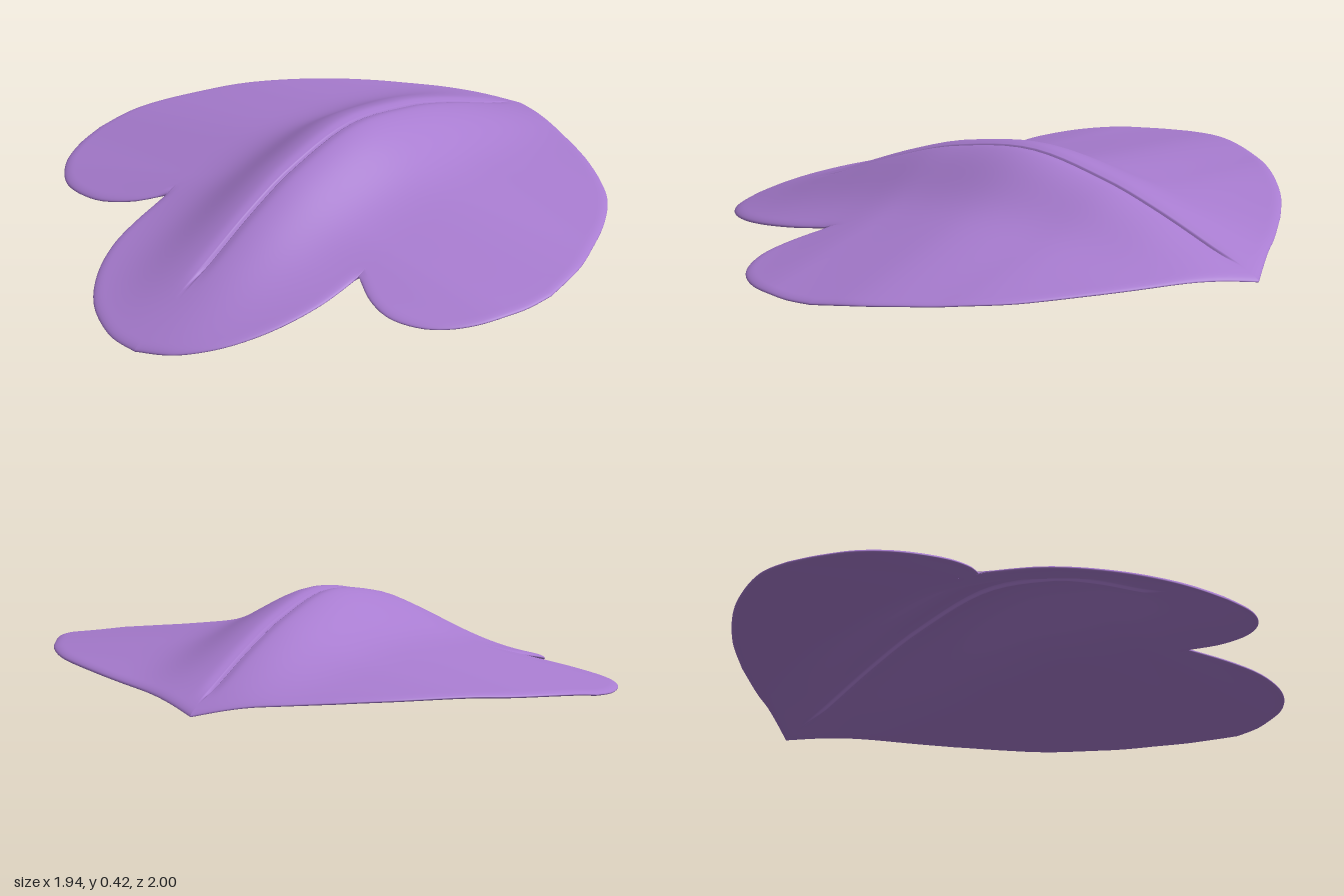
import * as THREE from 'three';
import { mergeVertices } from 'three/addons/utils/BufferGeometryUtils.js';

const curve = (...pts) => new THREE.SplineCurve(pts.map(([x, z]) => new THREE.Vector2(x, z)));

// Each panel is ruled between a back edge and a front edge, as [x, z] points.
// "inner" panels end at the midrib, "outer" panels end at the side of a lobe.
const panels = [
  { inner: true,
    back: curve([-0.45, -0.767], [-0.3, -0.86], [-0.2, -0.912], [-0.04, -1]),
    front: curve([-0.42, 0.31], [-0.42, 0.45], [-0.4, 0.6], [-0.34, 0.75], [-0.24, 0.88], [-0.1, 0.97], [0.03, 0.997]) },
  { inner: true,
    back: curve([0.45, -0.738], [0.35, -0.795], [0.15, -0.9], [-0.04, -1]),
    front: curve([0.44, 0.37], [0.43, 0.55], [0.38, 0.72], [0.29, 0.865], [0.17, 0.96], [0.03, 0.997]) },
  { inner: false,
    back: curve([-0.45, -0.767], [-0.6, -0.65], [-0.75, -0.49], [-0.86, -0.33], [-0.94, -0.16], [-0.97, 0]),
    front: curve([-0.42, 0.31], [-0.52, 0.375], [-0.65, 0.4], [-0.8, 0.355], [-0.9, 0.25], [-0.955, 0.12], [-0.97, 0]) },
  { inner: false,
    back: curve([0.45, -0.738], [0.58, -0.65], [0.7, -0.55], [0.8, -0.42], [0.88, -0.27], [0.94, -0.13], [0.97, 0.04]),
    front: curve([0.44, 0.37], [0.55, 0.44], [0.67, 0.47], [0.8, 0.43], [0.9, 0.32], [0.955, 0.17], [0.97, 0.04]) },
];

// Smooth curve through [position, value] pairs
function profile(pairs) {
  return (t) => {
    let i = 0;
    while (i < pairs.length - 2 && t > pairs[i + 1][0]) i++;
    const slope = (k) => {
      const a = pairs[Math.max(k - 1, 0)], b = pairs[Math.min(k + 1, pairs.length - 1)];
      return (b[1] - a[1]) / (b[0] - a[0]);
    };
    const [x0, y0] = pairs[i], [x1, y1] = pairs[i + 1];
    const w = x1 - x0, u = (t - x0) / w, u2 = u * u, u3 = u2 * u;
    return (2 * u3 - 3 * u2 + 1) * y0 + (u3 - 2 * u2 + u) * w * slope(i)
      + (3 * u2 - 2 * u3) * y1 + (u3 - u2) * w * slope(i + 1);
  };
}

// Height of the central ridge from back to front, and how far the sides fall from it
const ridge = profile([[-1, 0.165], [-0.92, 0.198], [-0.8, 0.245], [-0.6, 0.318], [-0.4, 0.375],
  [-0.1, 0.416], [0.2, 0.36], [0.4, 0.285], [0.6, 0.19], [0.8, 0.092], [1, 0.004]]);
const fall = profile([[-1, 0], [-0.9, 0.11], [-0.8, 0.26], [-0.6, 0.55], [-0.3, 0.87],
  [-0.05, 1], [0.15, 0.95], [0.4, 0.75], [0.6, 0.47], [0.8, 0.2], [1, 0]]);

function height(x, z) {
  const s = Math.abs(x - (-0.005 + 0.035 * z));
  const drop = 0.167 * (Math.hypot(s, 0.1) - 0.1) + 0.105 * (1 - Math.exp(-Math.pow(s / 0.21, 2.4)));
  // Midrib groove: a soft valley with a fine slit along its middle
  const fade = THREE.MathUtils.smoothstep(z, -0.94, -0.8) * (1 - THREE.MathUtils.smoothstep(z, 0.6, 0.75));
  const groove = 0.009 * Math.exp(-((s / 0.025) ** 2)) + 0.012 * Math.exp(-((s / 0.005) ** 4));
  return ridge(z) - fall(z) * drop - fade * groove;
}

// Distance to the outline, used to round the rim
const segments = panels.flatMap(({ back, front }) => [back, front].flatMap((c) => {
  const p = c.getSpacedPoints(50);
  return p.slice(1).map((b, i) => [p[i], b]);
}));
function edgeDistance(x, z) {
  let best = 1;
  for (const [a, b] of segments) {
    const dx = b.x - a.x, dz = b.y - a.y;
    const t = THREE.MathUtils.clamp(((x - a.x) * dx + (z - a.y) * dz) / (dx * dx + dz * dz), 0, 1);
    best = Math.min(best, Math.hypot(a.x + t * dx - x, a.y + t * dz - z));
  }
  return best;
}

function petalGeometry() {
  const U = 48, V = 56, HALF = 0.009, RIM = 0.03;
  const pos = [], index = [];
  for (const { back, front, inner } of panels) {
    for (const side of [1, -1]) {
      const start = pos.length / 3;
      for (let i = 0; i <= U; i++) {
        // Columns crowd towards the midrib or the lobe's outer rim
        const u = 1 - Math.pow(1 - i / U, 2);
        const b = back.getPointAt(u), f = front.getPointAt(u);
        for (let j = 0; j <= V; j++) {
          const v = 0.5 - 0.5 * Math.cos((Math.PI * j) / V);
          const x = b.x + (f.x - b.x) * v, z = b.y + (f.y - b.y) * v;
          const onRim = j === 0 || j === V || (!inner && i === U);
          const k = onRim ? 1 : 1 - Math.min(edgeDistance(x, z) / RIM, 1);
          pos.push(x, height(x, z) + side * HALF * Math.sqrt(1 - k * k), z);
        }
      }
      // Columns run opposite ways on the two sides, so the winding follows
      const flip = (back.points[0].x < back.points[back.points.length - 1].x) === (side > 0);
      for (let i = 0; i < U; i++) {
        for (let j = 0; j < V; j++) {
          const a = start + i * (V + 1) + j, b = a + 1, c = a + V + 1, d = c + 1;
          if (flip) index.push(a, b, c, b, d, c);
          else index.push(a, c, b, b, c, d);
        }
      }
    }
  }
  let geo = new THREE.BufferGeometry();
  geo.setAttribute('position', new THREE.Float32BufferAttribute(pos, 3));
  geo.setIndex(index);
  geo = mergeVertices(geo, 1e-5);
  geo.computeVertexNormals();
  return geo;
}

export function createModel() {
  const purple = new THREE.MeshStandardMaterial({ color: 0xa87cd0 });
  purple.name = 'petal purple';
  const petal = new THREE.Mesh(petalGeometry(), purple);
  petal.name = 'lobedPetal';
  const group = new THREE.Group();
  group.name = 'petalModel';
  group.add(petal);
  // Rest the lowest point on the ground
  group.position.y = -new THREE.Box3().setFromObject(petal).min.y;
  return group;
}
